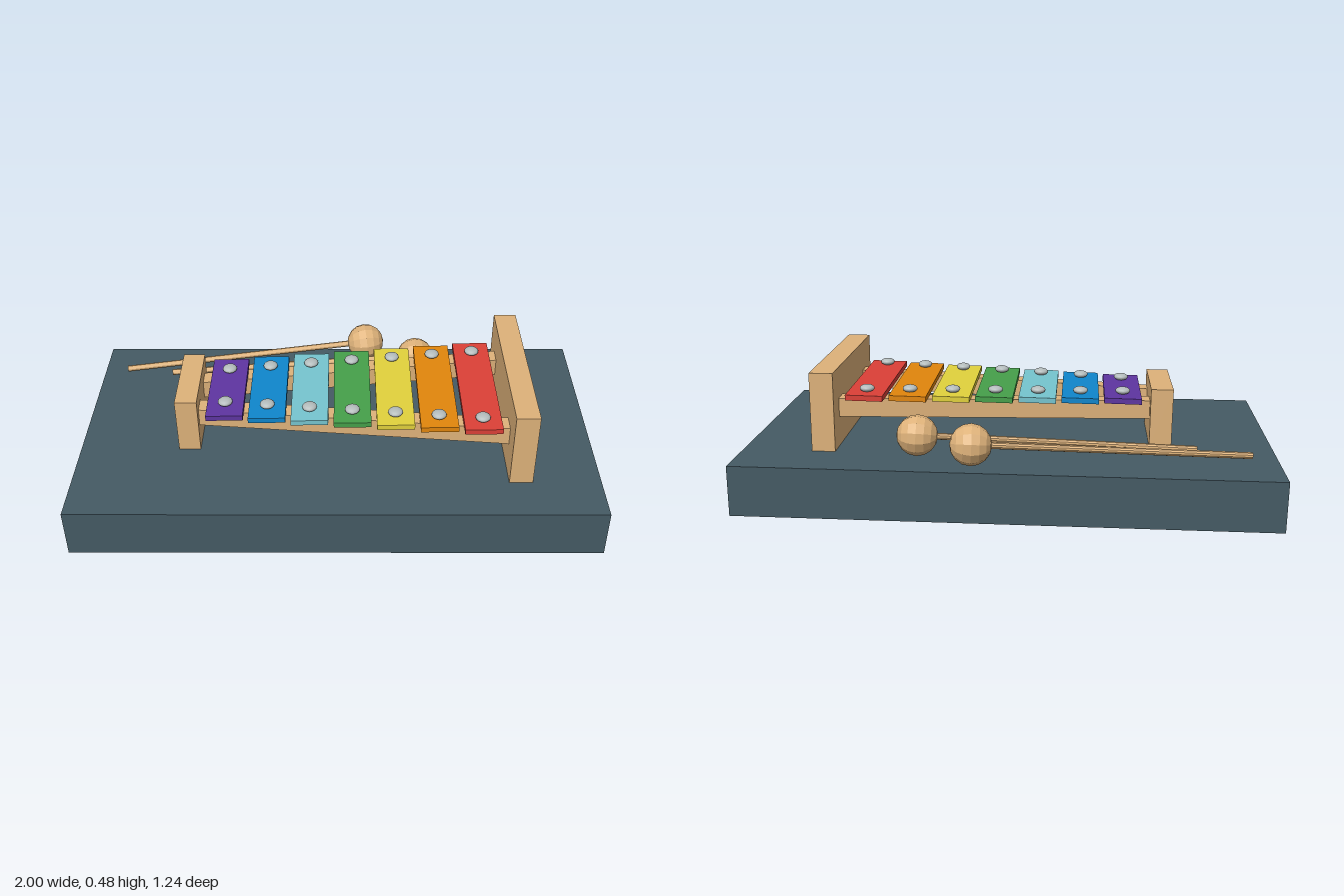
import * as THREE from 'three';

const mat = (color, flatShading = false) => new THREE.MeshStandardMaterial({ color, flatShading });
const wood = mat(0xdeb27a);
const roundWood = mat(0xdeb27a, true);
const slate = mat(0x455a64);
const metal = mat(0xb4bcbc);
const UP = new THREE.Vector3(0, 1, 0);

function add(parent, name, geometry, material, x, y, z) {
  const mesh = new THREE.Mesh(geometry, material);
  mesh.name = name;
  mesh.position.set(x, y, z);
  parent.add(mesh);
  return mesh;
}

function addGroup(parent, name) {
  const group = new THREE.Group();
  group.name = name;
  parent.add(group);
  return group;
}

// Mallet: thin stick from the handle end to a faceted wooden ball
function addMallet(parent, name, handle, ball) {
  const group = addGroup(parent, name);
  const dir = ball.clone().sub(handle);
  const length = dir.length();
  group.position.copy(handle);
  group.quaternion.setFromUnitVectors(UP, dir.normalize());
  add(group, 'malletStick', new THREE.CylinderGeometry(0.012, 0.012, length, 10), roundWood, 0, length / 2, 0);
  add(group, 'malletHead', new THREE.SphereGeometry(0.073, 12, 8), roundWood, 0, length, 0);
}

export function createModel() {
  const root = new THREE.Group();
  root.name = 'xylophoneOnBase';
  const body = addGroup(root, 'body');
  body.position.y = 0.0065;
  body.rotation.set(0.003, 0, 0.006);

  // Base slab, turned slightly
  const base = add(body, 'base', new THREE.BoxGeometry(1.894, 0.18, 1.036), slate, 0, 0.09, 0);
  base.rotation.y = 0.109;

  // Instrument with a short and a tall end block
  const xylophone = addGroup(body, 'xylophone');
  xylophone.rotation.y = 0.115;
  add(xylophone, 'shortEndBlock', new THREE.BoxGeometry(0.08, 0.214, 0.315), wood, -0.543, 0.285, -0.004);
  add(xylophone, 'tallEndBlock', new THREE.BoxGeometry(0.084, 0.287, 0.672), wood, 0.658, 0.3215, 0.0156);

  // Rails, bars and bolts share a gentle upward slope
  const deck = addGroup(xylophone, 'deck');
  deck.position.y = 0.345;
  deck.rotation.z = 0.014;

  // Rails spread apart toward the tall end
  for (const [name, z0, z1] of [['frontRail', 0.088, 0.233], ['backRail', -0.08, -0.206]]) {
    const dx = 1.17, dz = z1 - z0;
    const rail = add(deck, name, new THREE.BoxGeometry(Math.hypot(dx, dz), 0.068, 0.064), wood,
      0.055, -0.034, (z0 + z1) / 2);
    rail.rotation.y = -Math.atan2(dz, dx);
  }

  // Seven coloured bars growing in length, each held by two domed bolts
  const colors = [0x5e35a1, 0x0f86cc, 0x76c5cf, 0x46a04a, 0xe2d23c, 0xe2860c, 0xdc4037];
  const boltHead = new THREE.SphereGeometry(0.027, 16, 10).scale(1, 0.5, 1);
  const boltShank = new THREE.CylinderGeometry(0.012, 0.012, 0.04, 12);
  colors.forEach((color, i) => {
    const t = i / 6;
    const x = -0.403 + 0.154 * i;
    const z = 0.007 + 0.008 * t;
    const length = 0.365 + 0.19 * t;
    add(deck, 'bar' + (i + 1), new THREE.BoxGeometry(0.134, 0.02, length), mat(color), x, 0.01, z);
    for (const side of [-1, 1]) {
      const bz = 0.008 + 0.012 * t + side * (0.106 + 0.106 * t);
      add(deck, 'boltHead', boltHead, metal, x, 0.031, bz);
      add(deck, 'boltShank', boltShank, metal, x, 0.008, bz);
    }
  });

  // Two mallets resting behind the instrument
  addMallet(body, 'outerMallet', new THREE.Vector3(-0.88, 0.209, -0.236), new THREE.Vector3(0.066, 0.26, -0.462));
  addMallet(body, 'innerMallet', new THREE.Vector3(-0.69, 0.216, -0.222), new THREE.Vector3(0.275, 0.257, -0.382));

  return root;
}
